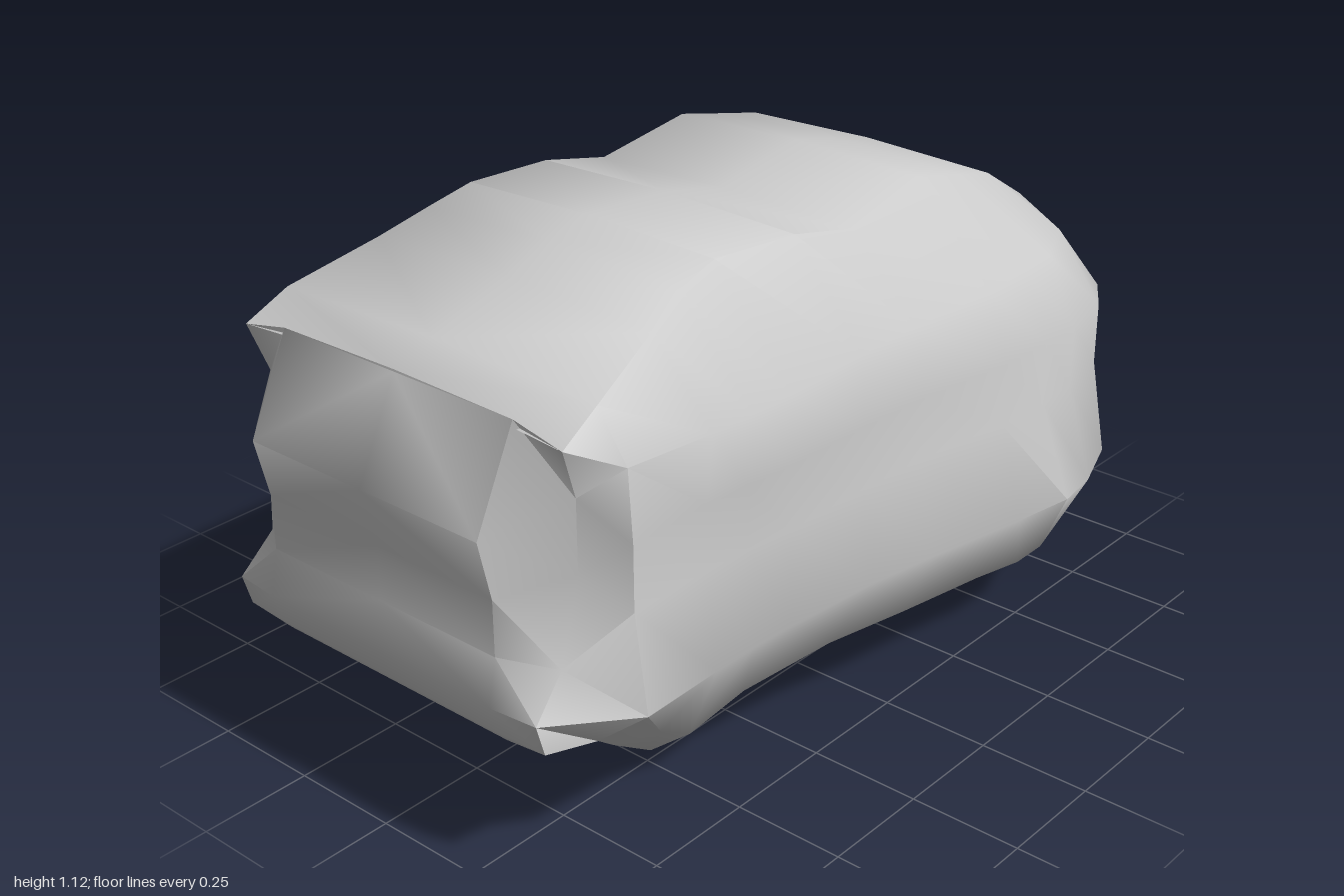
import * as THREE from 'three';
import { toCreasedNormals } from 'three/addons/utils/BufferGeometryUtils.js';

// Body from front to back:
// [z, bottom y, bevel x, bevel y, belly x, waist x, shoulder x, top x, top y]
const bodySections = [
  [0.80, .24, .40, .27, .53, .50, .49, .42, .99],
  [0.60, .08, .38, .18, .525, .50, .515, .37, 1.05],
  [0.49, .01, .36, .11, .525, .51, .52, .34, 1.09],
  [0.38, .015, .41, .18, .53, .52, .52, .33, 1.115],
  [0.15, .01, .47, .22, .55, .525, .51, .34, 1.1],
  [-0.03, 0, .51, .22, .58, .535, .51, .34, 1.06],
  [-0.28, .02, .53, .20, .63, .57, .52, .33, 1.1],
  [-0.43, .02, .54, .18, .655, .575, .51, .33, 1.065],
  [-0.54, .02, .53, .17, .64, .575, .50, .33, 1.04],
  [-0.69, .035, .47, .16, .585, .545, .43, .32, .95],
  [-0.79, .06, .42, .18, .50, .48, .38, .29, .84],
];

// Bulging middle of the front face, [y, z] from bottom to top
const frontFace = [
  [.31, .95], [.31, .95], [.33, .965], [.4, .99], [.5, .97],
  [.62, .97], [.75, 1], [.955, .9], [.96, .9],
];
// Half rims of the two end faces, [x, y, z] from bottom centre to top centre
const frontRim = [
  [0, .31, .95], [.31, .31, .95], [.42, .33, .96], [.42, .4, .98], [.41, .48, .9],
  [.4, .65, .84], [.42, .82, .86], [.43, .93, .9], [0, .96, .9],
];
const backRim = [
  [0, .27, -.81], [.25, .27, -.81], [.35, .3, -.83], [.29, .39, -.955], [.3, .56, -.915],
  [.29, .62, -.9], [.27, .67, -.89], [.16, .69, -.915], [0, .73, -.895],
];

// Half profile with belly and waist at constant heights
function bodyProfile([z, bottom, bevelX, bevelY, belly, waist, shoulder, topX, topY]) {
  const baseZ = Math.max(z, -.75); // the base ends before the back does
  const baseX = z < -.5 ? .33 : .25; // and is wider there
  return [
    [0, bottom, baseZ], [baseX, bottom + .01, baseZ], [bevelX, bevelY, baseZ],
    [belly, .38, z], [waist, .59, z], [waist, .73, z],
    [shoulder, Math.min(.88, topY - .05), z], [topX, topY - .01, z], [0, topY, z],
  ];
}

// Front face line at a given x, meeting the rim at both ends
const faceLine = (x) => frontFace.map(([y, z], i) => [i % 8 ? x : 0, y, z]);

// Centre line that closes the back, bulging above the undercut
const backLine = backRim.map(([x, y, z]) => [0, y, x && y > .35 ? z - .045 : z]);

// Closed loft through mirrored half profiles
function loft(rows) {
  const position = [], index = [];
  const n = 2 * (rows[0].length - 1);
  for (const half of rows) {
    const mirrored = half.slice(1, -1).reverse().map(([x, y, z]) => [-x, y, z]);
    position.push(...[...half, ...mirrored].flat());
  }
  for (let i = 0; i < rows.length - 1; i++) {
    for (let j = 0; j < n; j++) {
      const a = i * n + j, b = i * n + (j + 1) % n;
      const c = a + n, d = b + n;
      // mirrored diagonals keep both sides alike
      if (j < n / 2) index.push(a, c, b, b, c, d);
      else index.push(a, c, d, a, d, b);
    }
  }
  const geometry = new THREE.BufferGeometry();
  geometry.setAttribute('position', new THREE.Float32BufferAttribute(position, 3));
  geometry.setIndex(index);
  return toCreasedNormals(geometry, THREE.MathUtils.degToRad(50));
}

export function createModel() {
  const group = new THREE.Group();
  group.name = 'boulder';
  const rows = [
    faceLine(0),
    faceLine(.31),
    frontRim,
    ...bodySections.map(bodyProfile),
    backRim,
    backLine,
  ];
  const body = new THREE.Mesh(loft(rows), new THREE.MeshStandardMaterial({ color: 0xcccccc }));
  body.name = 'boulderBody';
  group.add(body);
  return group;
}
